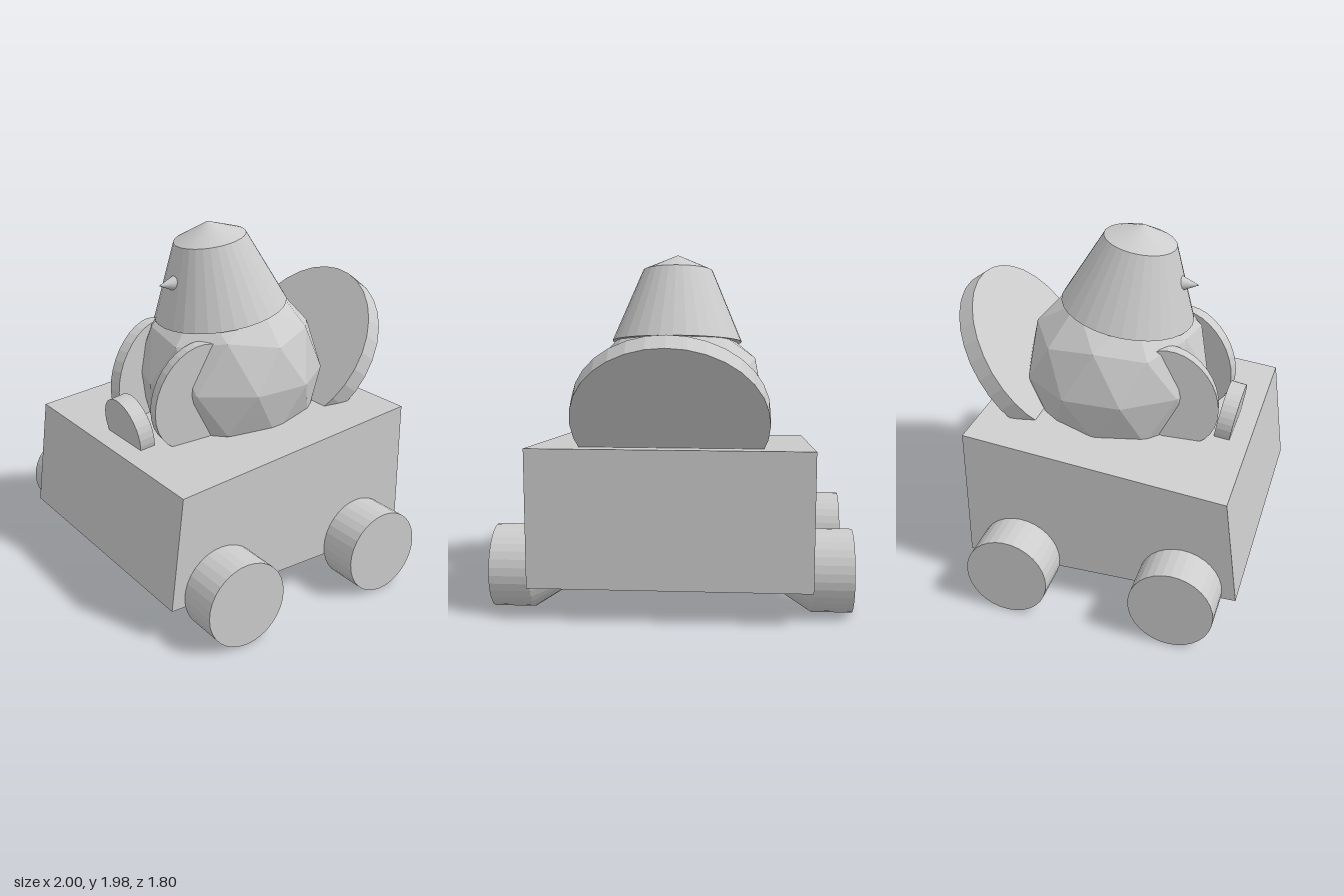
import * as THREE from 'three';

export function createModel() {
  const model = new THREE.Group();
  model.name = 'birdOnCart';
  const grey = new THREE.MeshStandardMaterial({ color: 0xcccccc, flatShading: true });
  grey.name = 'plain grey';

  const add = (name, geometry, x = 0, y = 0, z = 0) => {
    const mesh = new THREE.Mesh(geometry, grey);
    mesh.name = name;
    mesh.position.set(x, y, z);
    model.add(mesh);
    return mesh;
  };
  const lathe = (points, sides = 32) =>
    new THREE.LatheGeometry(points.map(([r, h]) => new THREE.Vector2(r, h)), sides);

  // Cart: side profile (z, y) with a sloping deck, extruded across x
  const profile = new THREE.Shape([
    [0.9, 0.19], [0.82, 0.805], [-0.645, 0.96], [-0.645, 0.19],
  ].map(([z, y]) => new THREE.Vector2(-z, y)));
  const cart = new THREE.ExtrudeGeometry(profile, { depth: 1.55, bevelEnabled: false });
  cart.translate(0, 0, -0.775).rotateY(Math.PI / 2);
  add('cartBody', cart);

  // Wheels with conical inner hubs
  const wheelGeometry = lathe([[0, 0.41], [0.2325, 0.775], [0.2325, 1], [0, 1]]);
  for (const side of [1, -1]) {
    for (const [name, z] of [['frontWheel', 0.59], ['backWheel', -0.338]]) {
      const wheel = add(name, wheelGeometry, 0, 0.2325, z);
      wheel.rotation.z = -side * Math.PI / 2;
    }
  }

  // Faceted body, turned so that one vertex points straight up
  const body = new THREE.IcosahedronGeometry(0.535, 1);
  body.rotateX(-Math.atan2(1 + Math.sqrt(5), 2)).rotateY(Math.PI / 2);
  add('body', body, 0, 1.11, 0);

  // Head leaning forward, with a shallow pointed crown
  const head = add('head', lathe([[0, 0], [0.378, 0], [0.203, 0.417], [0, 0.507]]), 0, 1.478, 0.06);
  head.rotation.x = 0.168;

  // Beak
  const beak = add('beak', new THREE.ConeGeometry(0.052, 0.12, 24), 0, 1.66, 0.402);
  beak.rotation.x = Math.PI / 2;

  // Wings: tilted oval discs converging towards the front
  for (const side of [1, -1]) {
    const wing = new THREE.CylinderGeometry(1, 1, 0.075, 32);
    wing.rotateZ(Math.PI / 2).scale(1, 0.305, 0.22).rotateX(-0.46).rotateY(-side * 0.18);
    add(side > 0 ? 'leftWing' : 'rightWing', wing, side * 0.25, 1.1, 0.41);
  }

  // Steering disc in front of the body
  const frontDisc = add('frontDisc', new THREE.CylinderGeometry(0.187, 0.187, 0.09, 32), 0, 0.884, 0.675);
  frontDisc.rotation.x = 1.74;

  // Large reclined backrest disc
  const backrest = add('backrest', new THREE.CylinderGeometry(0.535, 0.535, 0.104, 32), 0, 1.112, -0.54);
  backrest.rotation.x = 0.945;

  return model;
}
